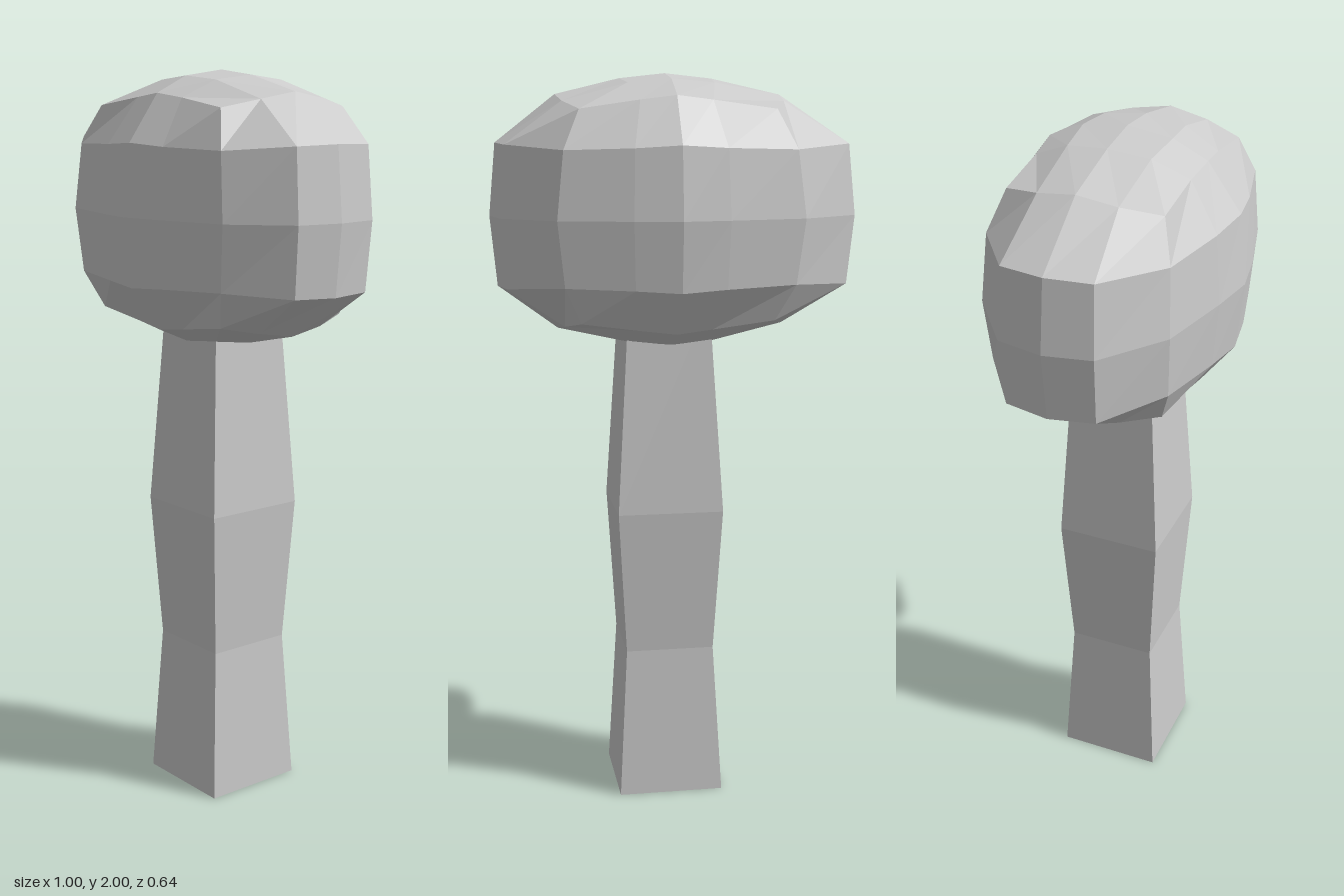
import * as THREE from 'three';

// One octant of the crown: grid index (|i||j||k|) -> offset from its centre
const OCTANT = {
  // end cap and its rim
  200: [0.5, 0, 0], 210: [0.48, 0.19, 0], 201: [0.477, 0, 0.125], 211: [0.46, 0.187, 0.12],
  220: [0.305, 0.312, 0], 202: [0.325, 0, 0.25], 221: [0.295, 0.295, 0.105],
  212: [0.305, 0.175, 0.24], 222: [0.258, 0.275, 0.205],
  // top and bottom
  '020': [0, 0.365, 0], 120: [0.125, 0.352, 0], '021': [0, 0.35, 0.12], 121: [0.115, 0.34, 0.11],
  // front and back
  '002': [0, 0, 0.322], 102: [0.125, 0, 0.3], '012': [0, 0.187, 0.303], 112: [0.12, 0.18, 0.285],
  // edge between top and front
  '022': [0, 0.308, 0.213], 122: [0.095, 0.297, 0.205],
};

// Trunk sections: [height, half width]
const TRUNK = [[0, 0.145], [0.42, 0.122], [0.82, 0.145], [1.4, 0.11]];

function reshape(geometry, rule) {
  const p = geometry.attributes.position;
  for (let n = 0; n < p.count; n++) p.setXYZ(n, ...rule(p.getX(n), p.getY(n), p.getZ(n)));
  geometry.computeVertexNormals();
  return geometry;
}

export function createModel() {
  const group = new THREE.Group();
  group.name = 'tree';
  const material = new THREE.MeshStandardMaterial({ color: 0xcccccc, flatShading: true });

  // Crown: a subdivided box rounded by the mirrored octant, bulge slightly off centre
  const crown = new THREE.Mesh(reshape(new THREE.BoxGeometry(4, 4, 4, 4, 4, 4), (x, y, z) => {
    const index = [x, y, z].map(Math.round);
    const offset = OCTANT[index.map(Math.abs).join('')];
    const [ox, oy, oz] = offset.map((v, a) => v * Math.sign(index[a]));
    const shift = 0.025 * (1 - (ox / 0.5) ** 2);
    return [ox + shift, 1.635 + oy - 0.008 * (1 - (oy / 0.365) ** 2), oz];
  }), material);
  crown.name = 'crown';

  // Trunk: a square post with varying width, its top hidden in the crown
  const trunk = new THREE.Mesh(reshape(new THREE.BoxGeometry(2, 3, 2, 1, 3, 1), (x, y, z) => {
    const [height, half] = TRUNK[Math.round(y + 1.5)];
    return [0.03 + x * half, height, z * half];
  }), material);
  trunk.name = 'trunk';

  group.add(crown, trunk);
  return group;
}
